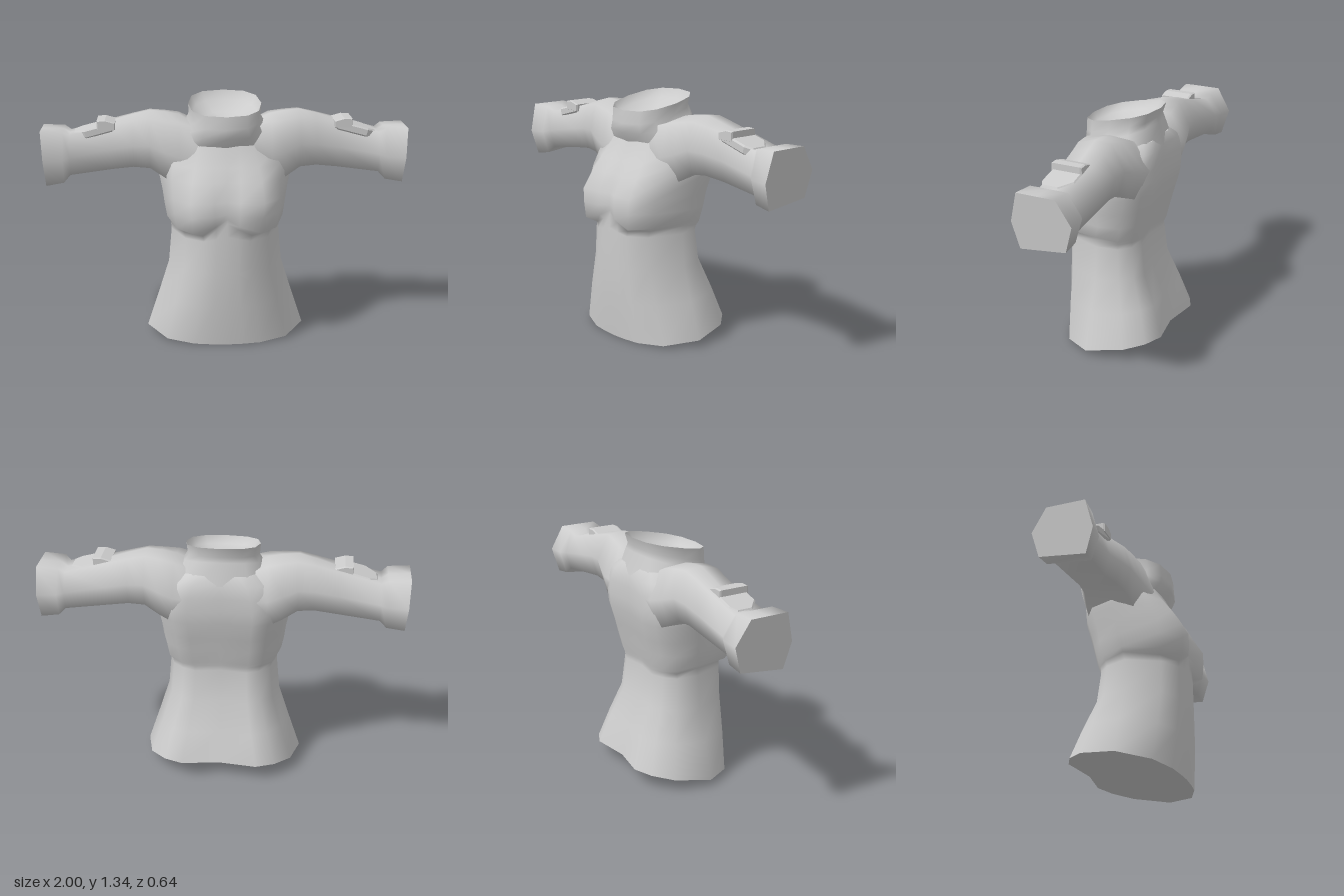
import * as THREE from 'three';

// Skin a list of equal-length rings; rings run counter-clockwise seen from the end they advance to.
function loft(rings, capStart = false, capEnd = false) {
  const n = rings[0].length, pos = [], idx = [];
  rings.forEach(r => r.forEach(p => pos.push(...p)));
  for (let i = 0; i < rings.length - 1; i++) for (let j = 0; j < n; j++) {
    const k = (j + 1) % n, a = i * n + j, b = i * n + k, c = b + n, d = a + n;
    idx.push(a, b, c, a, c, d);
  }
  // flat caps use their own vertices so the edge stays crisp
  const cap = (ring, flip) => {
    const s = pos.length / 3;
    const mid = [0, 1, 2].map(q => ring.reduce((t, p) => t + p[q], 0) / n);
    pos.push(...mid);
    ring.forEach(p => pos.push(...p));
    for (let j = 0; j < n; j++) {
      const a = s + 1 + j, b = s + 1 + (j + 1) % n;
      idx.push(s, flip ? b : a, flip ? a : b);
    }
  };
  if (capStart) cap(rings[0], true);
  if (capEnd) cap(rings[rings.length - 1], false);
  const g = new THREE.BufferGeometry();
  g.setAttribute('position', new THREE.Float32BufferAttribute(pos, 3));
  g.setIndex(idx);
  g.computeVertexNormals();
  return g;
}

// Half outline of the torso, front centre to back centre: [across, depth]
const PLAIN = [[0, 1], [0.2, 0.98], [0.42, 0.93], [0.75, 0.68], [1, 0], [0.9, -0.58], [0.7, -0.86], [0.47, -1], [0, -0.9]];
const BUST = [[0, 0.91], [0.2, 0.99], [0.57, 1], [0.84, 0.67], [1, 0], [0.9, -0.58], [0.7, -0.86], [0.47, -1], [0, -0.9]];
const LIFT = [0.07, 0.035, 0, 0.005, 0.02, 0, 0, 0, 0];

function torsoRing([y, w, zF, zM, zB, bust = 0, lift = 0, tilt = 0]) {
  const half = PLAIN.map((p, i) => {
    const u = THREE.MathUtils.lerp(p[0], BUST[i][0], bust);
    const v = THREE.MathUtils.lerp(p[1], BUST[i][1], bust);
    const z = zM + (v > 0 ? v * (zF - zM) : -v * (zB - zM));
    return [u * w, y + LIFT[i] * lift - 0.1525 * z * tilt, z];
  });
  return half.concat(half.slice(1, -1).reverse().map(([x, yy, z]) => [-x, yy, z]));
}

// Sleeve ring: a hexagon with a raised crown; side = 1 left, -1 right
function sleeveRing([x, top, bot, zF, zB, crown = 0, slant = 0], side) {
  const hex = [[0.55, 1], [0.88, 1], [1, 0.47], [0.88, 0], [0.12, 0.1], [0, 0.57], [0.24, 1]];
  const ring = hex.map(([u, v], i) => [
    side * (x + slant * (v - 1)),
    bot + v * (top - bot) + (i === 0 ? crown : i === 6 ? crown * 0.6 : 0),
    zB + u * (zF - zB)]);
  return side > 0 ? ring : ring.reverse();
}

// Twelve-sided rounded collar ring, tilted down towards the front
function collarRing([y, w, zF, zB, tilt]) {
  const soft = v => Math.sign(v) * Math.pow(Math.abs(v), 0.8);
  return Array.from({ length: 12 }, (_, i) => {
    const a = i * Math.PI / 6, z = (zF + zB) / 2 + soft(Math.cos(a)) * (zF - zB) / 2;
    return [w * soft(Math.sin(a)), y - tilt * z, z];
  });
}

export function createModel() {
  const model = new THREE.Group();
  const grey = new THREE.MeshStandardMaterial({ color: 0xcccccc });
  grey.name = 'plain grey';
  const add = (name, geo, parent = model) => {
    const m = new THREE.Mesh(geo, grey);
    m.name = name;
    parent.add(m);
    return m;
  };

  // Torso: height, half width, front, middle, back, bust, lift, tilt
  add('torso', loft([
    [0.041, 0.44, 0.27, 0.03, -0.32, 0, 0, 1],
    [0.24, 0.373, 0.29, 0.03, -0.262, 0, 0, 0.4],
    [0.42, 0.315, 0.296, 0.03, -0.19],
    [0.6, 0.298, 0.295, 0.03, -0.168, 0, 0.4],
    [0.632, 0.303, 0.294, 0.02, -0.172, 0.1, 1],
    [0.655, 0.322, 0.316, 0.02, -0.18, 1, 1],
    [0.74, 0.335, 0.322, 0, -0.2, 1, 0.2],
    [0.82, 0.345, 0.32, 0, -0.22, 1],
    [0.92, 0.365, 0.268, -0.02, -0.246, 0.6],
    [0.99, 0.37, 0.222, -0.03, -0.25, 0.3],
    [1.07, 0.355, 0.17, -0.04, -0.25],
    [1.14, 0.3, 0.145, -0.05, -0.238],
    [1.185, 0.22, 0.12, -0.04, -0.205],
  ].map(torsoRing), true, true));

  // Collar with a shallow hollow neck opening
  const rim = [1.3, 0.2, 0.195, -0.207, 0.2];
  add('collar', loft([
    [1.09, 0.27, 0.145, -0.225, 0.2], [1.2, 0.22, 0.2, -0.195, 0.3],
    [1.24, 0.195, 0.2, -0.19, 0.25], rim,
  ].map(collarRing)));
  add('neckOpening', loft([
    rim, [1.255, 0.175, 0.17, -0.18, 0.2],
    [1.225, 0.1, 0.1, -0.1, 0.1], [1.215, 0.01, 0.01, -0.01, 0],
  ].map(collarRing)));

  // Shoulder tab outline seen from above
  const tab = new THREE.Shape([[-0.1, -0.05], [0.06, -0.055], [0.1, -0.035], [0.1, 0.045], [0.04, 0.1], [-0.1, 0.1]]
    .map(([x, y]) => new THREE.Vector2(x, y)));
  const tabGeo = new THREE.ExtrudeGeometry(tab, {
    depth: 0.032, bevelEnabled: true, bevelThickness: 0.008, bevelSize: 0.008, bevelSegments: 1,
  }).rotateX(-Math.PI / 2);
  const strap = new THREE.Shape([[-0.045, -0.025], [0.045, -0.025], [0.045, 0.02], [0.005, 0.022], [-0.045, 0.008]]
    .map(([x, y]) => new THREE.Vector2(x, y)));
  const strapGeo = new THREE.ExtrudeGeometry(strap, {
    depth: 0.15, bevelEnabled: true, bevelThickness: 0.01, bevelSize: 0.004, bevelSegments: 1,
  }).translate(0, 0, -0.075);

  for (const side of [1, -1]) {
    const arm = new THREE.Group();
    arm.name = side > 0 ? 'leftArm' : 'rightArm';
    model.add(arm);

    // Sleeve: distance out, top, bottom, front, back, crown, slant
    add('sleeve', loft([
      [0.14, 1.18, 0.88, 0.165, -0.235],
      [0.25, 1.215, 0.87, 0.15, -0.245, 0.025],
      [0.33, 1.225, 0.91, 0.13, -0.225, 0.03],
      [0.41, 1.235, 0.96, 0.105, -0.2, 0.028],
      [0.5, 1.22, 0.965, 0.085, -0.19, 0.02],
      [0.62, 1.195, 0.95, 0.068, -0.187, 0.01],
      [0.845, 1.142, 0.922, 0.08, -0.187],
      [0.88, 1.165, 0.885, 0.11, -0.21],
      [0.998, 1.17, 0.87, 0.12, -0.213, 0, 0.023],
    ].map(r => sleeveRing(r, side)), false, true), arm);

    // Shoulder tab and its cross strap
    const badge = new THREE.Group();
    badge.name = 'shoulderTab';
    badge.rotation.y = side > 0 ? 0 : Math.PI;
    badge.position.z = side > 0 ? 0 : -0.0;
    arm.add(badge);
    const plate = add('tabPlate', tabGeo, badge);
    plate.position.set(0.712, 1.142, 0);
    plate.rotation.z = -0.26;
    const band = add('tabStrap', strapGeo, badge);
    band.position.set(0.645, 1.198, -0.022 * side);
    // keep the outline matched front to back on both sides
    if (side < 0) plate.position.z = 0.05;
  }
  return model;
}
